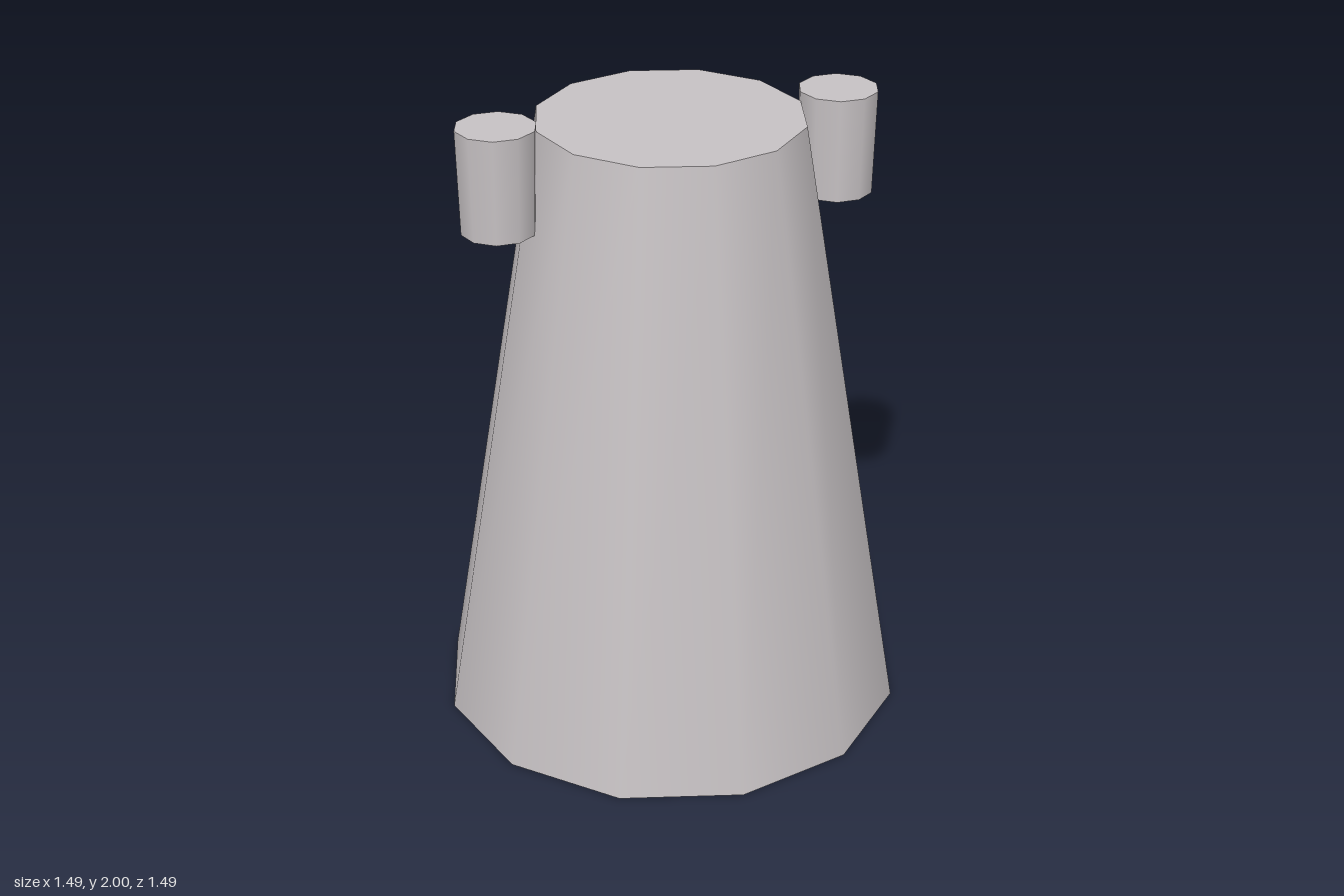
import * as THREE from 'three';

export function createModel() {
  const model = new THREE.Group();
  const stone = new THREE.MeshStandardMaterial({ color: 0xc6c1c3 });
  stone.name = 'paleGrey';

  // Tapered twelve-sided tower with smooth walls and flat caps
  const tower = new THREE.Mesh(new THREE.CylinderGeometry(0.415, 0.745, 1.97, 12), stone);
  tower.name = 'towerBody';
  tower.position.y = 0.985;
  model.add(tower);

  // Small ten-sided lugs on either side of the rim, a corner pointing outward
  const lugGeometry = new THREE.CylinderGeometry(0.124, 0.116, 0.33, 10, 1, false, Math.PI / 2);
  for (const [name, side] of [['leftLug', 1], ['rightLug', -1]]) {
    const lug = new THREE.Mesh(lugGeometry, stone);
    lug.name = name;
    lug.position.set(side * 0.537, 1.835, 0);
    model.add(lug);
  }
  return model;
}
